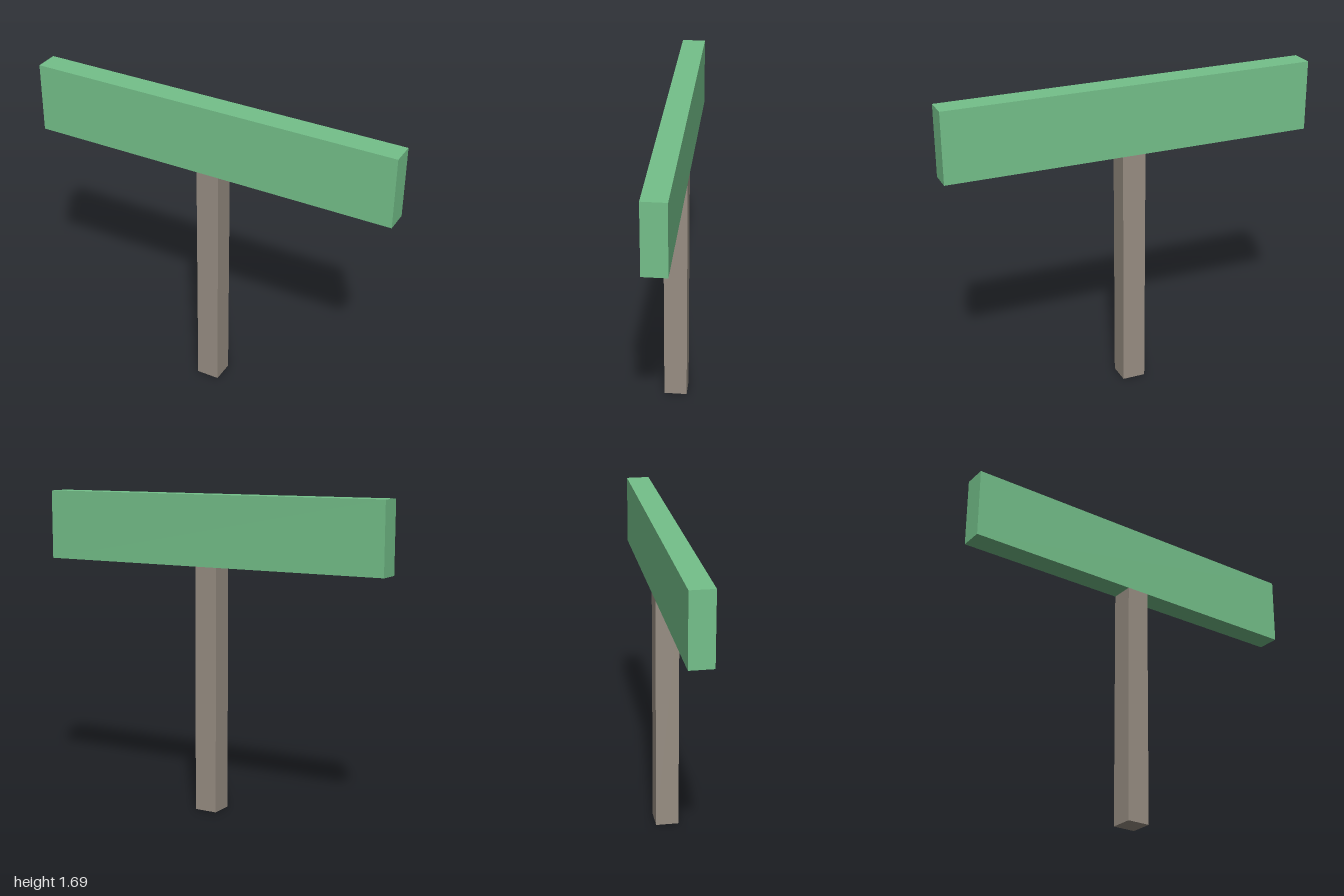
import * as THREE from 'three';

// Box resting on height y, centred on x and z
function block(name, w, h, d, y, color) {
  const mesh = new THREE.Mesh(
    new THREE.BoxGeometry(w, h, d),
    new THREE.MeshStandardMaterial({ color, flatShading: true })
  );
  mesh.name = name;
  mesh.position.y = y + h / 2;
  return mesh;
}

export function createModel() {
  const group = new THREE.Group();
  group.name = 'streetSign';

  const thickness = 0.125;
  const postHeight = 1.3125;

  // Square post, with the wide board sitting on its top
  group.add(block('post', thickness, postHeight, thickness, 0, 0x988e83));
  group.add(block('signBoard', 2, 0.375, thickness, postHeight, 0x74c08a));

  return group;
}
